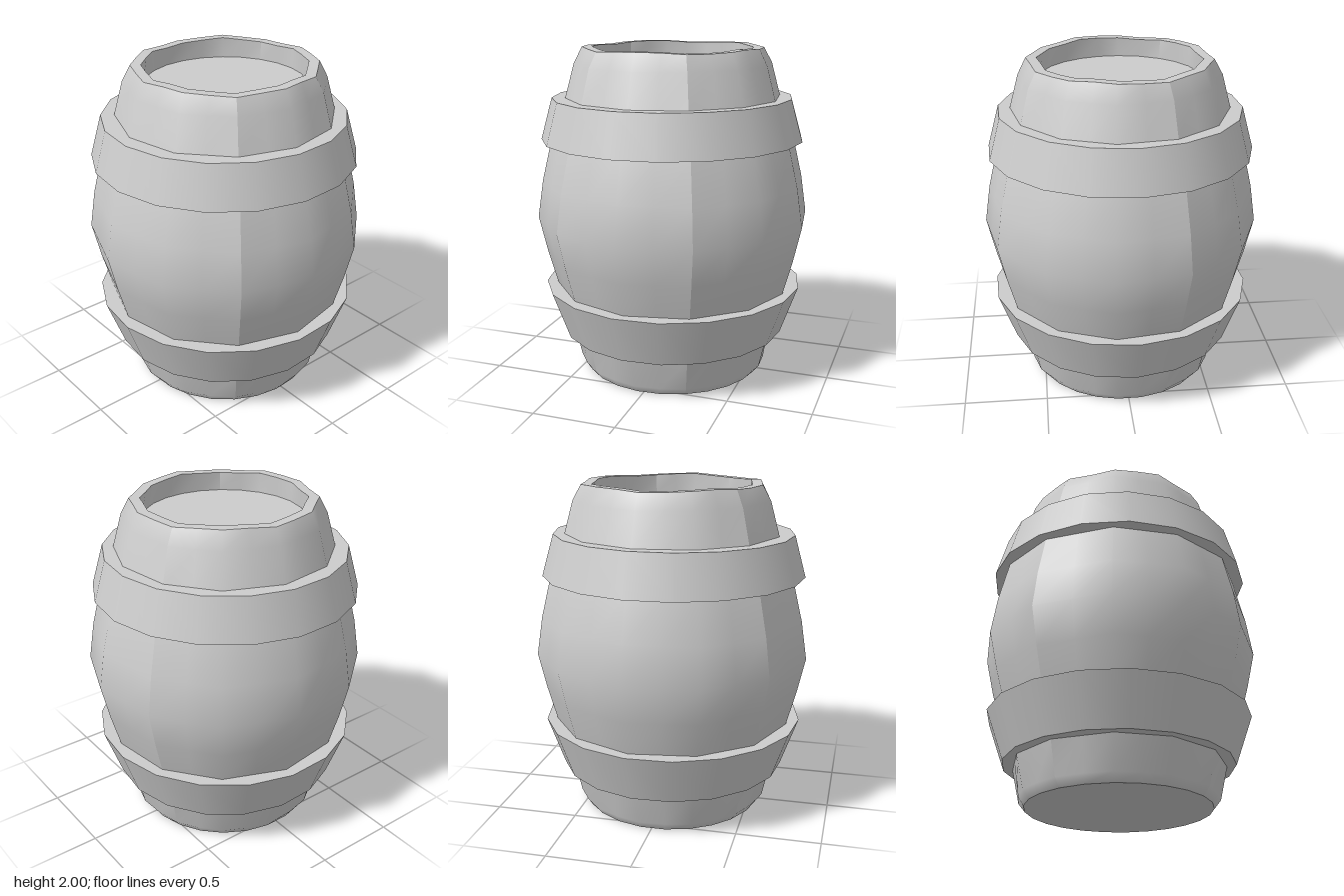
import * as THREE from 'three';
import { mergeGeometries } from 'three/addons/utils/BufferGeometryUtils.js';

// Corner angles of the slightly uneven twelve-sided body, in degrees from +x towards +z
const CORNERS = [-83, -52, -23, 7, 35, 64, 94, 124, 154.5, 184, 216.5, 246];
// Corners where the staves meet in a hard edge
const CREASES = [2, 5, 7, 10];

const cornerAngle = i => THREE.MathUtils.degToRad(CORNERS[i % 12] + (i >= 12 ? 360 : 0));

// Smooth panel between two creases. Profile rows: [radius, y, roundness]
function panel(profile, from, to) {
  const pos = [], index = [], n = profile.length;
  let columns = 0;
  const addColumn = (angle, chord) => {
    for (const [r, y, round = 0] of profile) {
      const rr = r * THREE.MathUtils.lerp(chord, 1, round);
      const wobble = y > 1.97 ? 0.006 * (Math.sin(angle * 5) - 1) : 0;
      pos.push(rr * Math.cos(angle), y + wobble, rr * Math.sin(angle));
    }
    columns++;
  };
  for (let i = from; i <= to; i++) {
    const a = cornerAngle(i);
    addColumn(a, 1);
    if (i < to) {
      const half = (cornerAngle(i + 1) - a) / 2;
      addColumn(a + half, Math.cos(half));
    }
  }
  for (let c = 0; c < columns - 1; c++) {
    for (let k = 0; k < n - 1; k++) {
      const p = c * n + k, q = p + n;
      index.push(p, p + 1, q, q, p + 1, q + 1);
    }
  }
  const g = new THREE.BufferGeometry();
  g.setAttribute('position', new THREE.Float32BufferAttribute(pos, 3));
  g.setIndex(index);
  g.computeVertexNormals();
  return g;
}

// Full ring of panels, split at the creases
function shell(profile) {
  return mergeGeometries(CREASES.map((start, i) =>
    panel(profile, start, i < 3 ? CREASES[i + 1] : CREASES[0] + 12)));
}

// Closed band with sharp edges, from a loop of [radius, y]
function band(loop) {
  return mergeGeometries(loop.map((p, i) => {
    const q = loop[(i + 1) % loop.length];
    return new THREE.LatheGeometry(
      [new THREE.Vector2(...p), new THREE.Vector2(...q)], 18, THREE.MathUtils.degToRad(13));
  }));
}

export function createModel() {
  const group = new THREE.Group();
  const grey = new THREE.MeshStandardMaterial({ color: 0xcccccc });
  grey.name = 'plain grey';
  const add = (name, geometry) => {
    const mesh = new THREE.Mesh(geometry, grey);
    mesh.name = name;
    group.add(mesh);
    return mesh;
  };

  // Bulging staves
  add('staves', shell([
    [0.55, 0, 1], [0.59, 0.05, 0.6], [0.635, 0.25], [0.73, 0.55], [0.785, 0.75],
    [0.835, 0.97], [0.8, 1.2], [0.74, 1.45], [0.65, 1.7], [0.595, 1.9], [0.545, 2],
  ]));

  // Rim, inner wall and recessed lid
  add('rim', shell([[0.545, 2], [0.483, 2]]));
  add('innerWall', shell([[0.483, 2], [0.475, 1.88, 1]]));
  add('lid', shell([[0.475, 1.88, 1], [0, 1.88]]));

  // Flat base
  add('base', shell([[0, 0], [0.55, 0, 1]]));

  // Flared hoops
  add('upperHoop', band([[0.795, 1.45], [0.725, 1.7], [0.6, 1.7], [0.67, 1.45]])).rotation.z = 0.005;
  add('lowerHoop', band([[0.69, 0.25], [0.795, 0.545], [0.67, 0.545], [0.57, 0.25]])).rotation.z = 0.003;

  return group;
}
